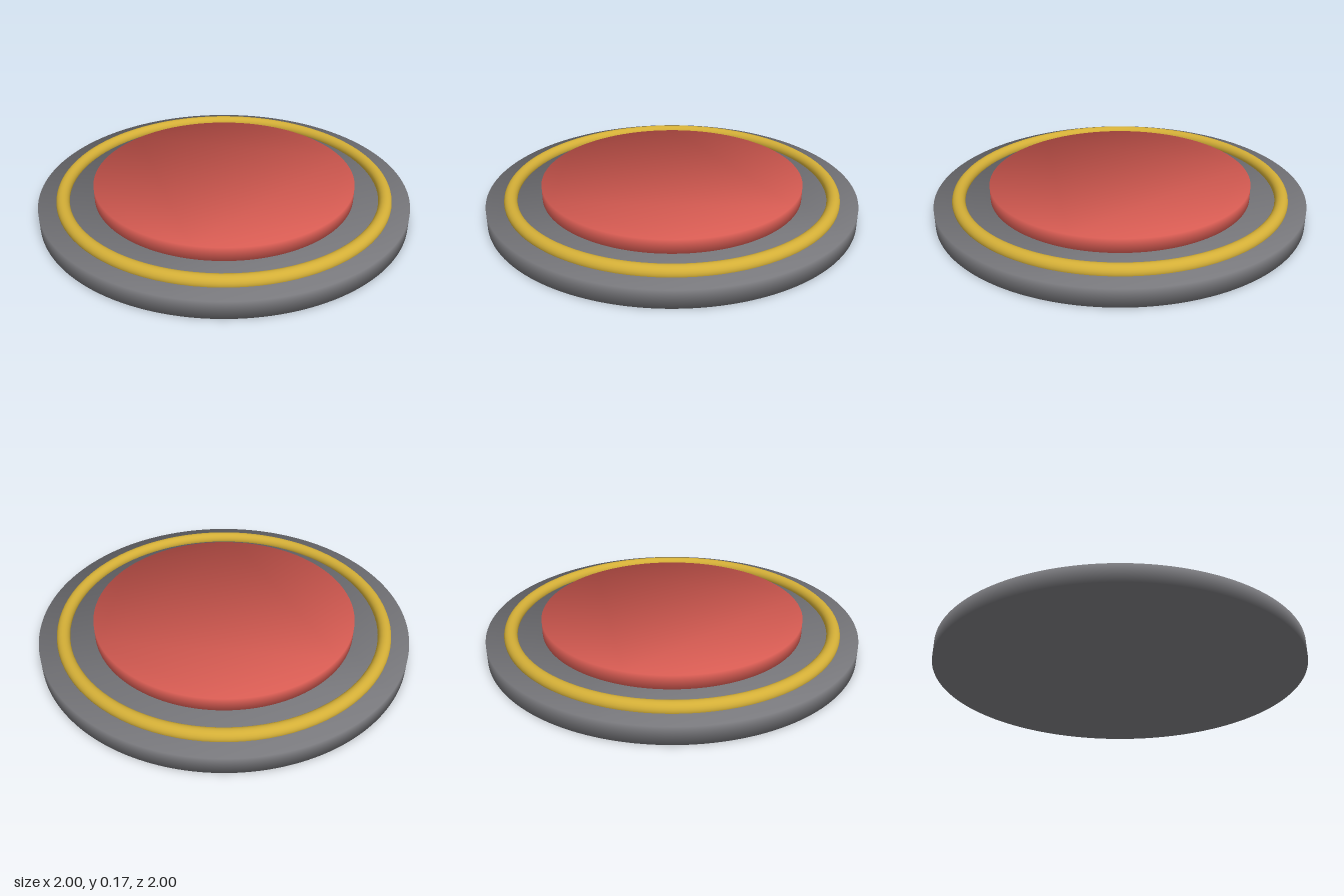
import * as THREE from 'three';

const material = (name, color) => {
  const m = new THREE.MeshStandardMaterial({ color });
  m.name = name;
  return m;
};

// Solid disc from y0 to y1, with normals rounded softly over the rim
function disc(radius, y0, y1) {
  const circle = new THREE.Shape().absarc(0, 0, radius, 0, Math.PI * 2, false);
  const geo = new THREE.ExtrudeGeometry(circle, { depth: y1 - y0, bevelEnabled: false, curveSegments: 96 });
  geo.rotateX(-Math.PI / 2).translate(0, y0, 0);
  const pos = geo.attributes.position;
  const n = new THREE.Vector3();
  for (let i = 0; i < pos.count; i++) {
    const up = pos.getY(i) > (y0 + y1) / 2 ? 1 : -1;
    n.set(pos.getX(i) / radius, up, pos.getZ(i) / radius).normalize();
    geo.attributes.normal.setXYZ(i, n.x, n.y, n.z);
  }
  return geo;
}

export function createModel() {
  const group = new THREE.Group();
  group.name = 'roundButton';
  const add = (name, geo, mat) => {
    const mesh = new THREE.Mesh(geo, mat);
    mesh.name = name;
    group.add(mesh);
  };

  // Wide base plate
  add('base', disc(1, 0, 0.094), material('grey', 0x78787c));

  // Half-sunk ring around the button
  const ring = new THREE.TorusGeometry(0.87, 0.035, 20, 96).rotateX(-Math.PI / 2).translate(0, 0.103, 0);
  add('ring', ring, material('gold', 0xd4af37));

  // Raised centre button
  add('button', disc(0.705, 0.08, 0.168), material('red', 0xd65b52));

  return group;
}
